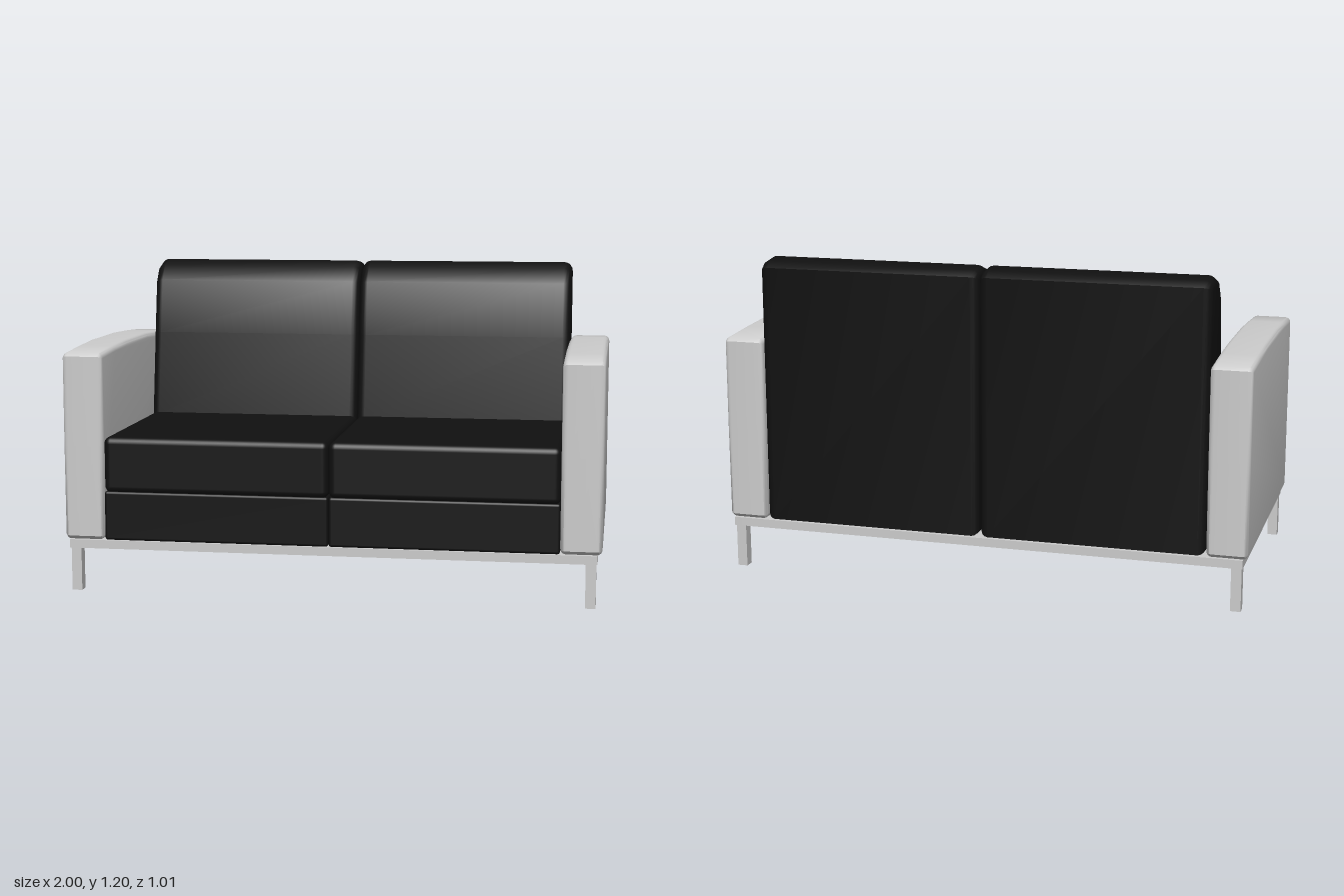
import * as THREE from 'three';
import { toCreasedNormals } from 'three/addons/utils/BufferGeometryUtils.js';
import { RoundedBoxGeometry } from 'three/addons/geometries/RoundedBoxGeometry.js';

const grey = new THREE.MeshStandardMaterial({ color: 0xcccccc });
const black = new THREE.MeshStandardMaterial({ color: 0x101010 });

// Side profile of [z, y] points, padded out to a width along x with rounded edges
function paddedSlab(profile, width, bevel) {
  const shape = new THREE.Shape(profile.map(([z, y]) => new THREE.Vector2(z, y)));
  const geometry = new THREE.ExtrudeGeometry(shape, {
    depth: width - 2 * bevel,
    bevelEnabled: true,
    bevelThickness: bevel,
    bevelSize: bevel,
    bevelOffset: -bevel,
    bevelSegments: 4,
  });
  geometry.translate(0, 0, bevel - width / 2);
  geometry.rotateY(-Math.PI / 2);
  return toCreasedNormals(geometry, 0.7);
}

// Seat cushion whose front and top swell slightly in the middle
function seatGeometry(w, h, d) {
  const geometry = new RoundedBoxGeometry(w, h, d, 4, 0.025);
  const p = geometry.attributes.position;
  for (let i = 0; i < p.count; i++) {
    const u = (2 * p.getX(i)) / w;
    if (p.getZ(i) > 0) p.setZ(i, p.getZ(i) + 0.008 * (1 - u * u));
  }
  return geometry;
}

export function createModel() {
  const sofa = new THREE.Group();
  sofa.name = 'sofa';

  const add = (name, geometry, material, x = 0, y = 0, z = 0) => {
    const mesh = new THREE.Mesh(geometry, material);
    mesh.name = name;
    mesh.position.set(x, y, z);
    sofa.add(mesh);
  };
  const box = (name, w, h, d, x, y, z) =>
    add(name, new THREE.BoxGeometry(w, h, d), grey, x, y, z);

  // Arm profile with a gently crowned top
  const armProfile = [
    [-0.492, 0.197], [0.492, 0.197], [0.505, 0.21], [0.507, 0.55], [0.505, 0.885],
    [0.49, 0.898], [0.32, 0.908], [0.15, 0.915], [-0.15, 0.915], [-0.32, 0.908],
    [-0.49, 0.898], [-0.505, 0.885], [-0.507, 0.55], [-0.505, 0.21],
  ];
  const arm = paddedSlab(armProfile, 0.152, 0.02);

  // Back cushion: upright rear, sloping front, rounded top
  const backProfile = [
    [-0.5, 0.2], [-0.17, 0.2], [-0.2, 0.58], [-0.25, 0.91], [-0.285, 1.12],
    [-0.33, 1.178], [-0.4, 1.2], [-0.47, 1.192], [-0.5, 1.17],
  ];
  const back = paddedSlab(backProfile, 0.846, 0.03);
  const seat = seatGeometry(0.846, 0.21, 0.74);
  const base = new RoundedBoxGeometry(0.846, 0.185, 0.74, 3, 0.01);

  // Left and right halves
  for (const [side, s] of [['left', 1], ['right', -1]]) {
    add(`${side}Arm`, arm, grey, s * 0.923);
    add(`${side}BackCushion`, back, black, s * 0.424);
    add(`${side}SeatCushion`, seat, black, s * 0.424, 0.48, 0.132);
    add(`${side}SeatBase`, base, black, s * 0.424, 0.288, 0.128);
    box(`${side}Rail`, 0.03, 0.032, 1.01, s * 0.967, 0.18, 0);
    for (const [end, t] of [['Front', 1], ['Back', -1]]) {
      box(`${side}${end}Leg`, 0.038, 0.166, 0.04, s * 0.959, 0.083, t * 0.476);
    }
  }

  // Front and back rails with a recessed bottom panel
  box('frontRail', 1.904, 0.032, 0.03, 0, 0.18, 0.49);
  box('backRail', 1.904, 0.032, 0.03, 0, 0.18, -0.49);
  box('bottomPanel', 1.904, 0.01, 0.95, 0, 0.191, 0);

  return sofa;
}
